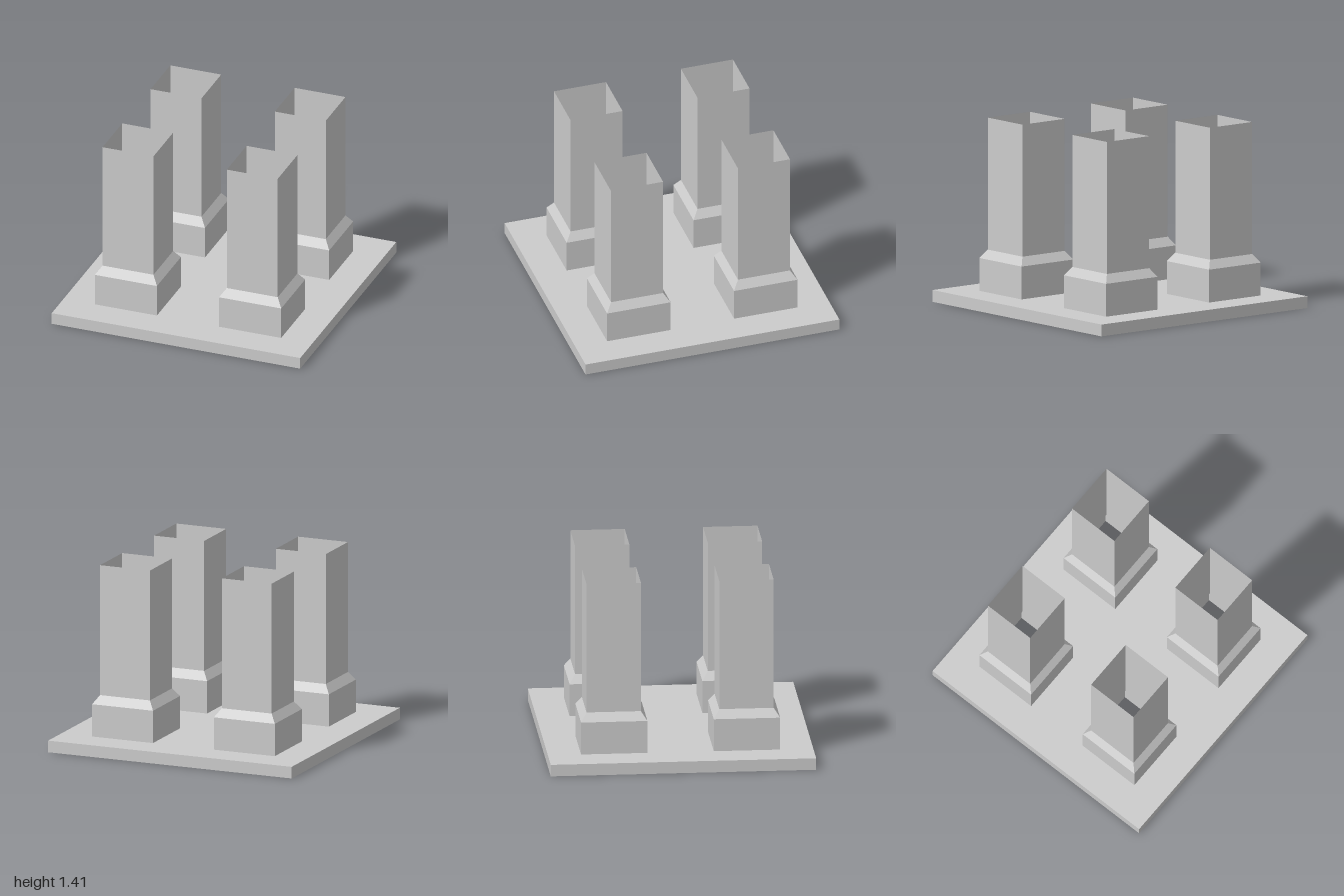
import * as THREE from 'three';

const DECK = 0.09;      // height of the base deck
const SPACING = 0.5;    // duct centres from the middle
const HALF = 0.25;      // half width of the duct foot

// Open square shell from [half width, height] pairs, bottom to top
function squareShell(name, profile, material) {
  const points = profile.map(([half, y]) => new THREE.Vector2(half * Math.SQRT2, y));
  const geometry = new THREE.LatheGeometry(points, 4, Math.PI / 4).toNonIndexed();
  geometry.computeVertexNormals();
  const mesh = new THREE.Mesh(geometry, material);
  mesh.name = name;
  return mesh;
}

function rectangle(path, x, y, half) {
  path.moveTo(x - half, y - half);
  path.lineTo(x + half, y - half);
  path.lineTo(x + half, y + half);
  path.lineTo(x - half, y + half);
  path.closePath();
  return path;
}

export function createModel() {
  const group = new THREE.Group();
  const material = new THREE.MeshStandardMaterial({
    color: 0xcccccc, flatShading: true, side: THREE.DoubleSide,
  });

  // Base rim, open underneath
  group.add(squareShell('baseRim', [[1, 0], [1, DECK]], material));

  // Thin deck with an opening under each duct
  const deckShape = rectangle(new THREE.Shape(), 0, 0, 1);

  // Hollow ducts: wide foot, sloped shoulder, narrow shaft
  for (const sx of [-1, 1]) {
    for (const sz of [-1, 1]) {
      deckShape.holes.push(rectangle(new THREE.Path(), sx * SPACING, sz * SPACING, HALF));
      const duct = squareShell(
        `${sz > 0 ? 'front' : 'back'}${sx > 0 ? 'Left' : 'Right'}Duct`,
        [[HALF, DECK], [HALF, 0.34], [0.205, 0.405], [0.205, 1.41]],
        material,
      );
      duct.position.set(sx * SPACING, 0, sz * SPACING);
      group.add(duct);
    }
  }

  const deck = new THREE.Mesh(new THREE.ShapeGeometry(deckShape), material);
  deck.name = 'baseDeck';
  deck.rotation.x = -Math.PI / 2;
  deck.position.y = DECK;
  group.add(deck);

  return group;
}
